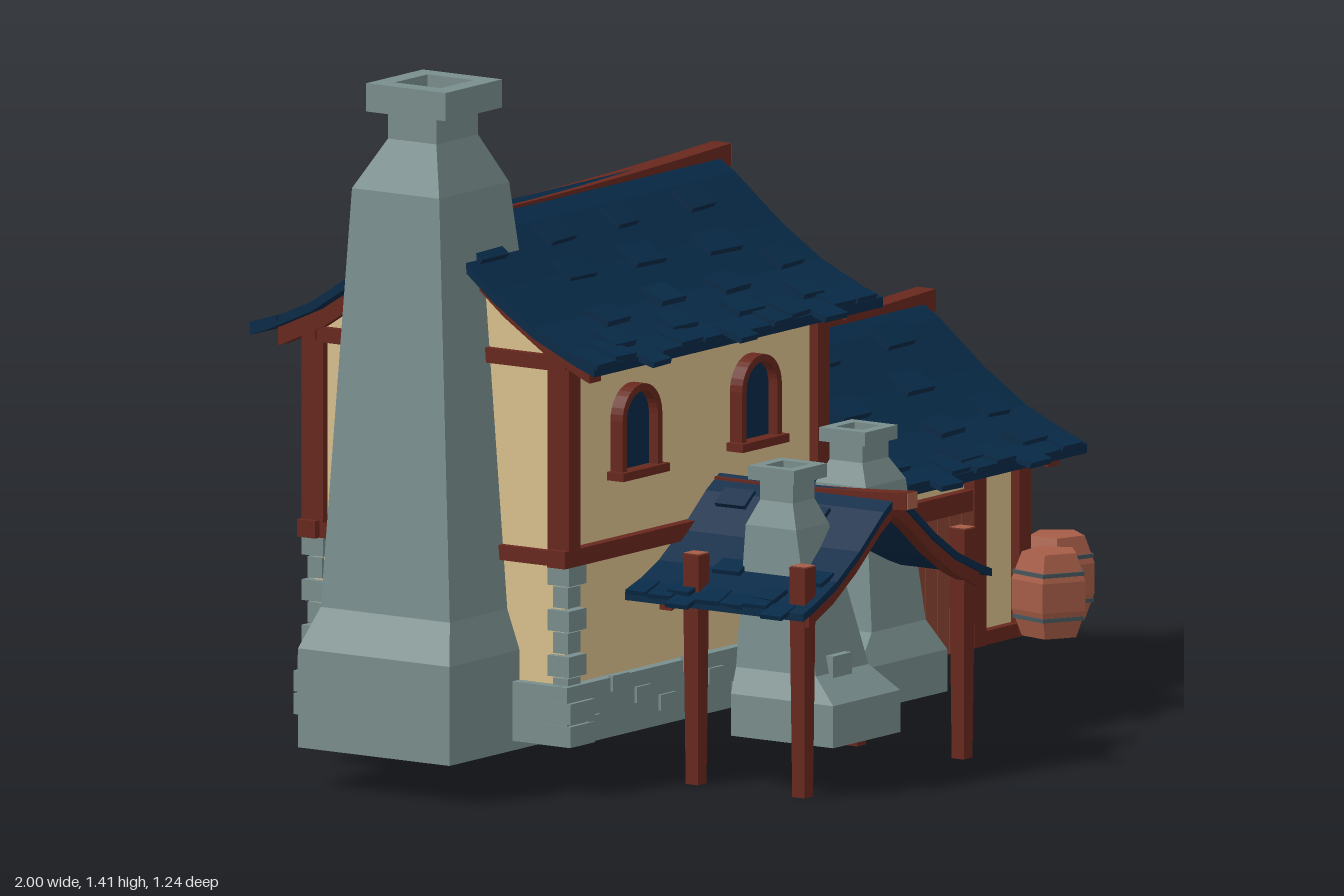
import * as THREE from 'three';
import { mergeGeometries } from 'three/addons/utils/BufferGeometryUtils.js';

const material = (name, color) => {
  const m = new THREE.MeshStandardMaterial({ color, flatShading: true });
  m.name = name;
  return m;
};
const plaster = material('cream plaster', 0xdac08d);
plaster.side = THREE.DoubleSide; // walls are open underneath
const timber = material('dark red timber', 0x68281d);
const plank = material('door plank', 0x8b4533);
const cask = material('barrel wood', 0xa65d47);
const slate = material('blue slate', 0x082a47);
const stone = material('grey stone', 0x798e8d);
const iron = material('dark iron', 0x46565c);

let seed = 7;
const rnd = (a, b) => {
  seed = (seed * 16807) % 2147483647;
  return a + (b - a) * seed / 2147483647;
};

function add(parent, name, geometry, mat) {
  const m = new THREE.Mesh(geometry, mat);
  m.name = name;
  parent.add(m);
  return m;
}
// Box given by its limits on each axis
function boxGeo(x0, x1, y0, y1, z0, z1) {
  return new THREE.BoxGeometry(x1 - x0, y1 - y0, z1 - z0)
    .translate((x0 + x1) / 2, (y0 + y1) / 2, (z0 + z1) / 2);
}
const box = (p, name, mat, ...limits) => add(p, name, boxGeo(...limits), mat);

// Extrude a (z, y) outline along x
function prism(points, x0, x1) {
  const shape = new THREE.Shape(points.map(([z, y]) => new THREE.Vector2(z, y)));
  return new THREE.ExtrudeGeometry(shape, { depth: x1 - x0, bevelEnabled: false })
    .rotateY(-Math.PI / 2).translate(x1, 0, 0);
}

// Swept roof curve: distance from ridge, drop below ridge
const CURVE = [[0, 0], [0.06, 0.037], [0.17, 0.125], [0.27, 0.19], [0.37, 0.235], [0.46, 0.268]];
function drop(d) {
  let i = 1;
  while (i < CURVE.length - 1 && d > CURVE[i][0]) i++;
  const [d0, y0] = CURVE[i - 1], [d1, y1] = CURVE[i];
  const slope = (y1 - y0) / (d1 - d0);
  return { y: -(y0 + (d - d0) * slope), angle: Math.atan(slope) };
}
function curveLine(offset, dMax) {
  const ds = CURVE.map(c => c[0]).filter(d => d < dMax).concat(dMax);
  const right = ds.map(d => [d, drop(d).y + offset]);
  return [...right.slice(1).reverse(), ...right.map(([d, y]) => [-d, y])];
}
const roofBand = (top, bottom, dMax) =>
  [...curveLine(top, dMax), ...curveLine(bottom, dMax).reverse()];

// Roof with ridge along local x at local y = 0
function roof(parent, name, x0, x1, ridge0, ridge1, rafters, looseTiles) {
  const g = new THREE.Group();
  g.name = name;
  parent.add(g);
  add(g, 'roofSlab', prism(roofBand(0, -0.02, 0.42), x0, x1), slate);
  for (const x of rafters)
    add(g, 'rafter', prism(roofBand(-0.015, -0.057, 0.38), x - 0.02, x + 0.02), timber);
  const tiles = [];
  const tile = (x, d, side, w, l, lift) => {
    const { y, angle } = drop(d);
    tiles.push(new THREE.BoxGeometry(w, 0.012, l).rotateX(side * (angle - 0.06))
      .rotateY(rnd(-0.08, 0.08)).translate(x, y + lift, side * d));
  };
  for (const side of [-1, 1]) {
    // Ragged eaves, every fourth tile slipped outwards
    for (let x = x0 + 0.035, i = 0; x < x1 - 0.03; x += 0.075, i++)
      tile(x, i % 4 === 2 ? 0.42 : rnd(0.385, 0.395), side, rnd(0.06, 0.075), 0.07, rnd(-0.004, 0.004));
    for (let i = 0; i < looseTiles; i++) {
      const x = x0 + 0.06 + (x1 - x0 - 0.12) * (i + rnd(0.1, 0.9)) / looseTiles;
      tile(x, 0.09 + 0.09 * ((i * 3) % 4) + rnd(-0.02, 0.02), side, rnd(0.06, 0.1), 0.06, 0.006);
    }
  }
  add(g, 'roofTiles', mergeGeometries(tiles), slate);
  // Slightly sagging ridge beam with pale cut ends
  const beam = new THREE.BoxGeometry(ridge1 - ridge0, 0.045, 0.045, 6);
  const p = beam.attributes.position;
  const rise = t => 0.03 * (t + 0.3) ** 2 - 0.018;
  for (let i = 0; i < p.count; i++)
    p.setY(i, p.getY(i) + rise(p.getX(i) / (ridge1 - ridge0)));
  add(g, 'ridgeBeam', beam.translate((ridge0 + ridge1) / 2, -0.012, 0), timber);
  const y = rise(0.5) - 0.012;
  box(g, 'ridgeBeamEnd', cask, ridge1, ridge1 + 0.003, y - 0.021, y + 0.021, -0.021, 0.021);
  return g;
}

const ZC = -0.165, HALF = 0.305, FRONT = ZC + HALF, BACK = ZC - HALF;

// Plastered walls with a gable, open underneath
function walls(parent, name, x0, x1, y0, ridgeY) {
  const top = curveLine(-0.025, HALF).map(([z, y]) => [z + ZC, y + ridgeY]);
  const geo = prism([[BACK, y0], [FRONT, y0], ...top], x0, x1).toNonIndexed();
  const p = geo.attributes.position, keep = [];
  for (let i = 0; i < p.count; i += 3) {
    if (Math.max(p.getY(i), p.getY(i + 1), p.getY(i + 2)) < y0 + 0.001) continue;
    for (let k = i; k < i + 3; k++) keep.push(p.getX(k), p.getY(k), p.getZ(k));
  }
  const open = new THREE.BufferGeometry();
  open.setAttribute('position', new THREE.Float32BufferAttribute(keep, 3));
  open.computeVertexNormals();
  add(parent, name, open, plaster);
}
// Timber frame on a gable end at x
function gableFrame(parent, x, y0, y1) {
  const a = x - 0.02, b = x + 0.02;
  for (const z of [FRONT - 0.005, ZC, BACK + 0.005])
    box(parent, 'gablePost', timber, a, b, y0, y1, z - 0.026, z + 0.026);
  for (const y of [y0, y1 - 0.03])
    box(parent, 'gableBeam', timber, a, b + 0.004, y, y + 0.03, BACK - 0.015, FRONT + 0.015);
}

// Tapered masonry: rings of [y, x0, x1, z0, z1, z0 at the x0 corner]
function loft(rings) {
  const pos = [];
  const c = ([y, x0, x1, z0, z1, zc = z0]) => [[x0, y, z1], [x1, y, z1], [x1, y, z0], [x0, y, zc]];
  const quad = (a, b, d, e) => pos.push(...a, ...b, ...d, ...a, ...d, ...e);
  for (let i = 0; i < rings.length - 1; i++) {
    const lo = c(rings[i]), hi = c(rings[i + 1]);
    for (let k = 0; k < 4; k++) quad(lo[k], lo[(k + 1) % 4], hi[(k + 1) % 4], hi[k]);
  }
  quad(...c(rings[0]).reverse());
  quad(...c(rings[rings.length - 1]));
  const g = new THREE.BufferGeometry();
  g.setAttribute('position', new THREE.Float32BufferAttribute(pos, 3));
  g.computeVertexNormals();
  return g;
}
function chimney(parent, name, rings, cap) {
  const g = new THREE.Group();
  g.name = name;
  parent.add(g);
  add(g, 'chimneyStack', loft(rings), stone);
  const [y0, y1, cx, cz, half] = cap;
  const square = (T, h) => new T([[-h, -h], [h, -h], [h, h], [-h, h]].map(q => new THREE.Vector2(...q)));
  const s = square(THREE.Shape, half);
  s.holes.push(square(THREE.Path, half * 0.58));
  add(g, 'chimneyCap', new THREE.ExtrudeGeometry(s, { depth: y1 - y0, bevelEnabled: false })
    .rotateX(-Math.PI / 2).translate(cx, y0, cz), stone);
}

function archedWindow(parent, x) {
  const arch = (T, w, y0, y1) => {
    const s = new T();
    s.moveTo(-w, y0); s.lineTo(w, y0); s.lineTo(w, y1);
    s.absarc(0, y1, w, 0, Math.PI, false); s.closePath();
    return s;
  };
  const frame = arch(THREE.Shape, 0.068, 0.62, 0.732);
  frame.holes.push(arch(THREE.Path, 0.053, 0.63, 0.732));
  const ext = (s, depth) => new THREE.ExtrudeGeometry(s, { depth, bevelEnabled: false, curveSegments: 8 });
  add(parent, 'windowFrame', ext(frame, 0.03).translate(x, 0, FRONT), timber);
  add(parent, 'windowPane', ext(arch(THREE.Shape, 0.055, 0.625, 0.732), 0.008).translate(x, 0, FRONT), slate);
  box(parent, 'windowSill', timber, x - 0.08, x + 0.08, 0.613, 0.63, FRONT, FRONT + 0.04);
}

function barrel(parent, x, z, turn) {
  const g = new THREE.Group();
  g.name = 'barrel';
  const pts = [[0, -0.085], [0.058, -0.085], [0.079, -0.03], [0.079, 0.03], [0.058, 0.085], [0, 0.085]];
  add(g, 'barrelBody', new THREE.LatheGeometry(pts.map(p => new THREE.Vector2(...p)), 5), cask);
  for (const y of [-0.045, 0.045])
    add(g, 'barrelHoop', new THREE.CylinderGeometry(0.077, 0.077, 0.008, 5).translate(0, y, 0), iron);
  g.position.set(x, 0.2, z);
  g.rotation.y = turn;
  parent.add(g);
}

export function createModel() {
  const house = new THREE.Group();
  house.name = 'house';

  // Tall house
  walls(house, 'tallWalls', -0.76, 0.1, 0.1, 1.135);
  roof(house, 'tallRoof', -0.82, 0.17, -0.8, 0.21, [-0.76, 0.12], 15).position.set(0, 1.135, ZC);
  gableFrame(house, 0.1, 0.46, 0.885);
  gableFrame(house, -0.755, 0.46, 0.885);
  for (const z of [FRONT, BACK]) {
    box(house, 'floorBeam', timber, -0.79, 0.12, 0.46, 0.495, z - 0.022, z + 0.022);
    box(house, 'eaveBeam', timber, -0.78, 0.12, 0.86, 0.89, z - 0.015, z + 0.015);
  }
  archedWindow(house, -0.535);
  archedWindow(house, -0.125);

  // Stone footing, raised stones and corner stones
  for (const [z, s] of [[FRONT, 1], [BACK, -1]]) {
    add(house, 'footing', boxGeo(-0.785, 0.11, 0.1, 0.22, -0.0115, 0.0115).translate(0, 0, z + s * 0.0125), stone);
    for (let i = 0; i < 10; i++) {
      const x = -0.72 + i * 0.083, y = 0.12 + 0.035 * ((i * 2) % 3) + rnd(0, 0.01);
      add(house, 'footingStone', boxGeo(x, x + rnd(0.04, 0.065), y, y + 0.032, -0.006, 0.006)
        .translate(0, 0, z + s * 0.024), stone);
    }
  }
  for (const x of [-0.773, 0.1])
    box(house, 'footing', stone, x - 0.012, x + 0.012, 0.1, 0.22, BACK, FRONT);
  for (const [x, z] of [[-0.745, FRONT - 0.005], [-0.745, BACK + 0.005], [0.095, BACK + 0.005]])
    for (let i = 0; i < 8; i++) {
      const w = i < 2 ? 0.042 : 0.022 + 0.008 * (i % 2), y = 0.1 + i * 0.046;
      box(house, 'cornerStone', stone, x - w, x + w, y, y + 0.042, z - w + 0.004, z + w - 0.004);
    }

  // Low wing, reaching into the tall house
  walls(house, 'wingWalls', -0.03, 0.79, 0.1, 0.74);
  roof(house, 'wingRoof', -0.12, 0.87, -0.1, 0.91, [0.81], 15).position.set(0, 0.74, ZC);
  gableFrame(house, 0.79, 0.1, 0.49);
  gableFrame(house, -0.025, 0.1, 0.49);
  for (const z of [FRONT, BACK]) {
    box(house, 'sillBeam', timber, -0.03, 0.8, 0.1, 0.128, z - 0.02, z + 0.02);
    box(house, 'eaveBeam', timber, 0.1, 0.84, 0.465, 0.49, z - 0.018, z + 0.018);
  }

  // Door
  for (const x of [0.365, 0.61])
    box(house, 'doorPost', timber, x, x + 0.042, 0.1, 0.475, FRONT - 0.01, FRONT + 0.025);
  box(house, 'doorLintel', timber, 0.4, 0.62, 0.378, 0.42, FRONT - 0.01, FRONT + 0.022);
  for (let i = 0; i < 5; i++)
    box(house, 'doorPlank', plank, 0.408 + i * 0.041, 0.447 + i * 0.041, 0.1, 0.378, FRONT, FRONT + 0.022);

  // Chimney and two forges
  chimney(house, 'greatChimney', [
    [0.08, -1, -0.46, -0.39, 0.03, -0.34], [0.28, -1, -0.5, -0.39, 0.03, -0.34],
    [0.36, -0.957, -0.55, -0.35, 0, -0.315], [1.2, -0.895, -0.655, -0.283, -0.07],
    [1.3, -0.853, -0.71, -0.225, -0.107], [1.356, -0.853, -0.71, -0.225, -0.107],
  ], [1.355, 1.412, -0.783, -0.162, 0.097]);
  chimney(house, 'frontForge', [
    [0.1, -0.485, -0.255, 0.35, 0.6], [0.185, -0.485, -0.255, 0.35, 0.6], [0.235, -0.46, -0.28, 0.345, 0.54],
    [0.52, -0.437, -0.325, 0.352, 0.475], [0.57, -0.42, -0.345, 0.375, 0.455], [0.612, -0.42, -0.345, 0.375, 0.455],
  ], [0.612, 0.64, -0.382, 0.415, 0.056]);
  box(house, 'forgeMouth', stone, -0.415, -0.35, 0.2, 0.27, 0.5, 0.55);
  chimney(house, 'sideForge', [
    [0.1, -0.125, 0.18, 0.175, 0.405], [0.185, -0.125, 0.18, 0.175, 0.405], [0.245, -0.03, 0.155, 0.19, 0.37],
    [0.53, -0.005, 0.132, 0.215, 0.338], [0.575, 0.015, 0.105, 0.235, 0.315], [0.612, 0.015, 0.105, 0.235, 0.315],
  ], [0.612, 0.64, 0.058, 0.275, 0.056]);

  // Porch: a smaller roof turned to face the front
  const porch = new THREE.Group();
  porch.name = 'porch';
  house.add(porch);
  const cover = roof(porch, 'porchRoof', 0.2, 0.765, 0.2, 0.81, [0.3, 0.735], 7);
  cover.scale.setScalar(0.77);
  cover.rotation.y = -Math.PI / 2;
  cover.position.set(-0.235, 0.574, -0.01);
  for (const x of [-0.51, 0.037])
    for (const z of [0.283, 0.543]) {
      const part = (name, y0, y1, r, mat) => add(porch, name, new THREE.CylinderGeometry(r, 0.021, y1 - y0, 4)
        .rotateY(Math.PI / 4).translate(x, (y0 + y1) / 2, z), mat);
      part('porchPost', 0, 0.464, 0.027, timber);
      part('porchPostTop', 0.464, 0.467, 0.026, cask);
    }

  // Barrels
  barrel(house, 0.757, 0.247, 0.1);
  barrel(house, 0.921, 0.145, 0.314);
  return house;
}
